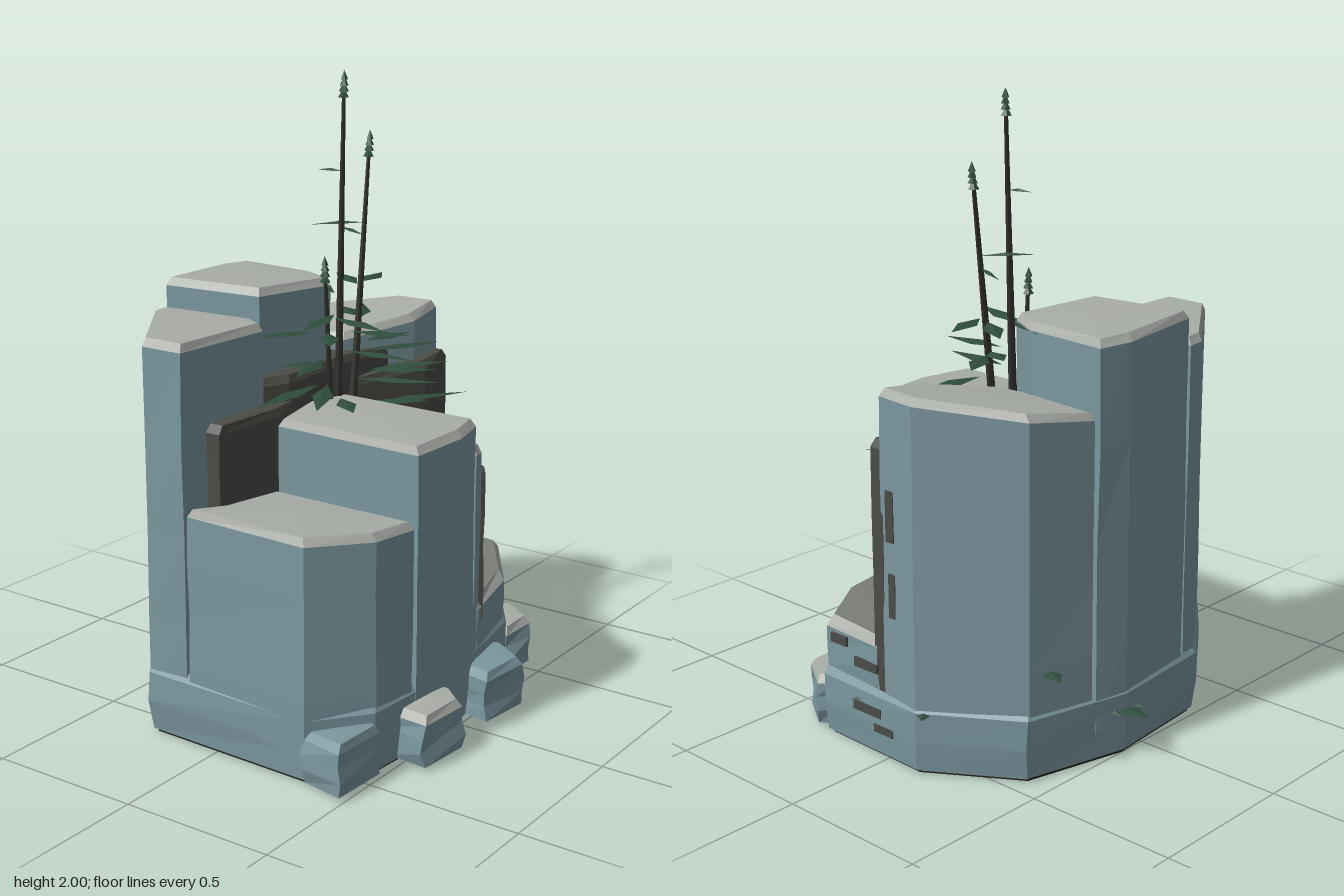
import * as THREE from 'three';

const mat = (name, color, side = THREE.FrontSide) =>
  Object.assign(new THREE.MeshStandardMaterial({ color, flatShading: true, side }), { name });

export function createModel() {
  const root = new THREE.Group();
  root.name = 'rockOutcrop';
  const rock = mat('blueRock', 0x7b979f);
  const cap = mat('paleCap', 0xa9ada7);
  const weathered = mat('weatheredLedge', 0x7c7e79);
  const dark = mat('darkStone', 0x4b4b46);
  const under = mat('underside', 0x22241f);
  const stem = mat('stem', 0x302d29);
  const leafGreen = mat('leafGreen', 0x2f4d3c, THREE.DoubleSide);

  let seed = 7;
  const rnd = () => (seed = (seed * 16807) % 2147483647) / 2147483647 - 0.5;

  // Upright prism over an [x, z] outline: sides, chamfered rim and a faceted top
  function prism(name, pts, y0, top, mats = [rock, cap, cap], o = {}) {
    const { rim = 0.025, inset = 0.018, rows = 4, rough = 0.005, foot = 1 } = o;
    const topAt = typeof top === 'function' ? top : () => top;
    let area = 0;
    pts.forEach(([x, z], i) => {
      const [u, v] = pts[(i + 1) % pts.length];
      area += x * v - u * z;
    });
    const p = area > 0 ? [...pts].reverse() : pts;
    const n = p.length;
    const cx = p.reduce((s, q) => s + q[0], 0) / n;
    const cz = p.reduce((s, q) => s + q[1], 0) / n;
    const rings = [];
    for (let r = 0; r <= rows; r++) {
      rings.push(p.map(([x, z]) => {
        const t = r / rows;
        const k = r === 0 ? foot : 1;
        const j = r === 0 || r === rows ? 0 : rough;
        return [cx + (x - cx) * k + rnd() * j, y0 + (topAt(x, z) - rim - y0) * t, cz + (z - cz) * k + rnd() * j];
      }));
    }
    rings.push(p.map(([x, z]) => {
      const d = Math.hypot(x - cx, z - cz);
      const k = 1 - inset / d;
      return [cx + (x - cx) * k, topAt(x, z), cz + (z - cz) * k];
    }));
    const pos = [];
    const geo = new THREE.BufferGeometry();
    const tri = (...v) => v.forEach((q) => pos.push(...q));
    const mark = (start, m) => geo.addGroup(start / 3, (pos.length - start) / 3, m);
    let start = 0;
    for (let r = 0; r <= rows; r++) {
      if (r === rows) { mark(start, 0); start = pos.length; }
      for (let i = 0; i < n; i++) {
        const k = (i + 1) % n, a = rings[r], b = rings[r + 1];
        tri(a[i], a[k], b[k]);
        tri(a[i], b[k], b[i]);
      }
    }
    mark(start, 1);
    start = pos.length;
    const last = rings[rows + 1];
    const mid = [cx, topAt(cx, cz) + 0.004, cz];
    for (let i = 0; i < n; i++) tri(last[i], last[(i + 1) % n], mid);
    mark(start, 2);
    start = pos.length;
    for (let i = 0; i < n; i++) tri(rings[0][(i + 1) % n], rings[0][i], [cx, y0, cz]);
    mark(start, 0);
    geo.setAttribute('position', new THREE.Float32BufferAttribute(pos, 3));
    geo.computeVertexNormals();
    const m = new THREE.Mesh(geo, mats);
    m.name = name;
    root.add(m);
  }
  const allDark = [dark, dark, dark];

  // Base
  const outline = [[-0.605, -0.25], [-0.28, -0.49], [0.1, -0.52], [0.45, -0.43], [0.635, -0.14], [0.625, 0.27],
    [0.38, 0.44], [0.08, 0.49], [-0.05, 0.515], [-0.45, 0.485], [-0.62, 0.35]];
  prism('footing', outline.map(([x, z]) => [x * 0.96, z * 0.96]), 0, 0.03, [under, under, under], { rows: 1 });
  prism('baseSkirt', outline, 0.015, 0.23, [rock, rock, rock], { rows: 2, rough: 0.012, foot: 0.985 });

  // Dark cores seen through the gaps
  prism('frontCore', [[-0.57, -0.08], [0.3, -0.08], [0.44, 0.06], [0.1, 0.45], [-0.05, 0.48], [-0.43, 0.45], [-0.58, 0.33]],
    0.1, 0.71, allDark, { rough: 0 });
  prism('backCore', [[-0.57, -0.23], [-0.25, -0.46], [0.1, -0.49], [0.42, -0.4], [0.6, -0.13], [0.57, -0.02],
    [0.45, -0.02], [0.2, -0.07], [-0.12, -0.07], [-0.22, -0.12], [-0.57, -0.13]], 0.1, 1.07, allDark, { rough: 0 });

  // Tall back columns
  prism('backRightColumn', [[-0.6, -0.25], [-0.28, -0.48], [-0.22, -0.485], [-0.19, -0.15], [-0.23, -0.085], [-0.6, -0.105]], 0.1,
    (x) => 1.255 - 0.01 * x);
  prism('backColumn', [[-0.205, -0.487], [0.1, -0.515], [0.21, -0.49], [0.19, -0.2], [0.13, -0.09], [-0.17, -0.145]], 0.1,
    (x) => 1.34 - 0.03 * x);
  prism('backLeftColumn', [[0.222, -0.482], [0.44, -0.425], [0.63, -0.14], [0.62, 0.0], [0.47, 0.01], [0.23, -0.11], [0.205, -0.2]], 0.1,
    (x, z) => 1.105 + 0.13 * x + 0.03 * z);

  // Dark slabs standing against the columns
  prism('rightSlab', [[-0.5, -0.095], [-0.5, -0.045], [-0.24, -0.02], [-0.12, -0.04], [-0.2, -0.1]], 0.5, 1.0, allDark);
  prism('leftSlab', [[0.2, -0.11], [0.21, -0.06], [0.47, 0.055], [0.618, 0.043], [0.62, -0.005]], 0.2,
    (x) => 0.97 + 0.085 * x, allDark);

  // Lower front columns
  prism('frontRightColumn', [[-0.603, -0.09], [-0.5, -0.04], [-0.265, -0.015], [-0.27, 0.495], [-0.44, 0.478], [-0.62, 0.35]], 0.1,
    (x) => 0.735 - 0.05 * x);
  prism('frontColumn', [[-0.25, -0.015], [-0.258, 0.5], [-0.05, 0.52], [0.07, 0.495], [0.075, 0], [-0.05, -0.05]], 0.1,
    (x) => 0.98 + 0.03 * x);
  prism('frontLeftColumn', [[0.085, 0.49], [0.095, -0.04], [0.25, -0.04], [0.475, 0.06], [0.14, 0.475]], 0.1,
    (x) => 0.895 - 0.13 * x);
  prism('darkPanel', [[0.14, 0.465], [0.465, 0.065], [0.482, 0.08], [0.157, 0.48]], 0.3, 0.8, allDark, { inset: 0.008, rim: 0.015 });
  prism('ledge', [[0.12, 0.485], [0.37, 0.435], [0.61, 0.27], [0.622, 0.03], [0.45, 0.05]], 0.1,
    (x) => 0.365 + 0.045 * x, [rock, cap, weathered], { inset: 0.03, rough: 0.01, rim: 0.03 });

  // Boulders along the front
  const boulders = [
    [[[-0.62, 0.35], [-0.43, 0.47], [-0.45, 0.5], [-0.645, 0.49]], rock],
    [[[-0.33, 0.45], [-0.1, 0.45], [-0.1, 0.53], [-0.16, 0.605], [-0.34, 0.59]], cap],
    [[[0.06, 0.45], [0.28, 0.42], [0.295, 0.47], [0.22, 0.595], [0.035, 0.575]], rock],
    [[[0.4, 0.38], [0.58, 0.28], [0.612, 0.32], [0.53, 0.445], [0.39, 0.44]], cap],
  ];
  boulders.forEach(([pts, top]) =>
    prism('boulder', pts, 0.015, 0.175, [rock, top, top], { rows: 3, rough: 0.025, inset: 0.02 }));

  // Weathering stains: [x, y, z, height, width, turn]
  const stains = [
    [0.622, 0.29, 0.08, 0.03, 0.1, 0], [0.622, 0.34, 0.2, 0.03, 0.07, 0], [0.63, 0.15, 0.07, 0.03, 0.12, 0],
    [0.63, 0.1, 0.0, 0.025, 0.08, 0], [0.624, 0.55, -0.045, 0.14, 0.025, 0.07], [0.624, 0.8, -0.04, 0.16, 0.03, 0.07],
    [0.55, 0.3, 0.315, 0.04, 0.06, -0.96], [-0.1, 0.1, 0.5, 0.12, 0.03, 0], [0.29, 0.09, 0.455, 0.12, 0.03, 0],
  ];
  for (const [x, y, z, h, w, turn] of stains) {
    const s = new THREE.Mesh(new THREE.BoxGeometry(0.009, h, w), dark);
    s.position.set(x, y, z);
    s.rotation.y = turn;
    s.name = 'stain';
    root.add(s);
  }

  // Plant
  const V = (x, y, z) => new THREE.Vector3(x, y, z);
  const plant = new THREE.Group();
  plant.name = 'plant';
  root.add(plant);
  function leaf(a, b, width) {
    const dir = b.clone().sub(a);
    const side = V(-dir.z, 0, dir.x).normalize().multiplyScalar(width / 2);
    const m = a.clone().addScaledVector(dir, 0.45);
    const ridge = m.clone().add(V(0, 0.008, 0));
    const l = m.clone().add(side), r = m.clone().sub(side);
    const g = new THREE.BufferGeometry().setFromPoints([a, l, ridge, l, b, ridge, b, r, ridge, r, a, ridge]);
    g.computeVertexNormals();
    const mesh = new THREE.Mesh(g, leafGreen);
    mesh.name = 'leaf';
    plant.add(mesh);
  }

  // Stems with spiky buds
  const stems = [
    [V(0.045, 0.9, 0), V(0.09, 1.97, -0.01)],
    [V(0.12, 0.85, 0), V(0.245, 1.77, -0.02)],
    [V(0.005, 0.95, 0), V(-0.012, 1.41, -0.01)],
  ];
  stems.forEach(([a, b], i) => {
    const d = b.clone().sub(a);
    const s = new THREE.Mesh(new THREE.CylinderGeometry(0.006, i === 2 ? 0.01 : 0.015, d.length(), 6), stem);
    s.position.copy(a).addScaledVector(d, 0.5);
    s.quaternion.setFromUnitVectors(V(0, 1, 0), d.normalize());
    s.name = 'stem';
    plant.add(s);
    for (let k = 0; k < 4; k++) {
      const c = new THREE.Mesh(new THREE.ConeGeometry(0.018 - k * 0.002, 0.03, 5), leafGreen);
      c.position.copy(b).addScaledVector(d, -0.04 + k * 0.018);
      c.rotation.y = k;
      c.name = 'bud';
      plant.add(c);
    }
  });

  // Leaves: [stem, height, tip x, tip z]
  const leaves = [
    [2, 1.04, -0.32, 0.18], [2, 1.04, -0.38, 0.0], [2, 1.2, -0.23, -0.14], [2, 1.2, -0.18, 0.13], [2, 1.25, -0.1, 0.27],
    [2, 1.12, -0.27, 0.07], [2, 1.1, -0.15, -0.09], [0, 1.13, 0.05, 0.27], [0, 1.04, 0.17, 0.31], [0, 1.25, -0.2, 0.04],
    [0, 1.19, 0.1, 0.24], [0, 1.3, 0.2, -0.24], [1, 1.13, 0.4, 0.04], [1, 1.04, 0.32, 0.2], [1, 0.93, 0.5, 0.2],
    [1, 1.04, 0.4, 0.19], [1, 1.32, 0.38, -0.06], [1, 1.31, 0.32, -0.2], [1, 1.21, 0.25, -0.15], [1, 0.94, 0.27, 0.2],
    [1, 1.2, 0.36, -0.12], [1, 1.1, 0.45, 0.12], [0, 0.98, -0.1, 0.16], [1, 0.9, 0.2, 0.2],
  ];
  for (const [i, y, tx, tz] of leaves) {
    const [a, b] = stems[i];
    const start = a.clone().lerp(b, (y - a.y) / (b.y - a.y));
    const tip = V(tx, y + rnd() * 0.02, tz);
    leaf(start.lerp(tip, 0.15), tip, 0.065);
  }
  // Thin sprigs higher up
  for (const [i, y, x, z] of [[1, 1.51, 0.08, -0.13], [1, 1.47, 0.28, -0.16], [0, 1.69, 0.06, -0.09]]) {
    const [a, b] = stems[i];
    leaf(a.clone().lerp(b, (y - a.y) / (b.y - a.y)), V(x, y, z), 0.02);
  }
  // Small tufts in the cracks
  const tufts = [
    [0.1, 0.15, -0.48, 0.1, -0.61, 0.07], [0.06, 0.15, -0.49, 0.045, -0.555, 0.03], [0.15, 0.16, -0.49, 0.16, -0.55, 0.03],
    [0.36, 0.34, -0.42, 0.4, -0.51, 0.06], [0.6, 0.2, -0.15, 0.65, -0.185, 0.04], [0.6, 0.17, 0.1, 0.65, 0.13, 0.03],
    [0.24, 0.7, 0.35, 0.27, 0.41, 0.04], [0.4, 0.58, 0.15, 0.45, 0.18, 0.04], [0.4, 0.54, 0.17, 0.43, 0.2, 0.04],
  ];
  for (const [x, y, z, tx, tz, w] of tufts) leaf(V(x, y, z), V(tx, y, tz), w);

  return root;
}
